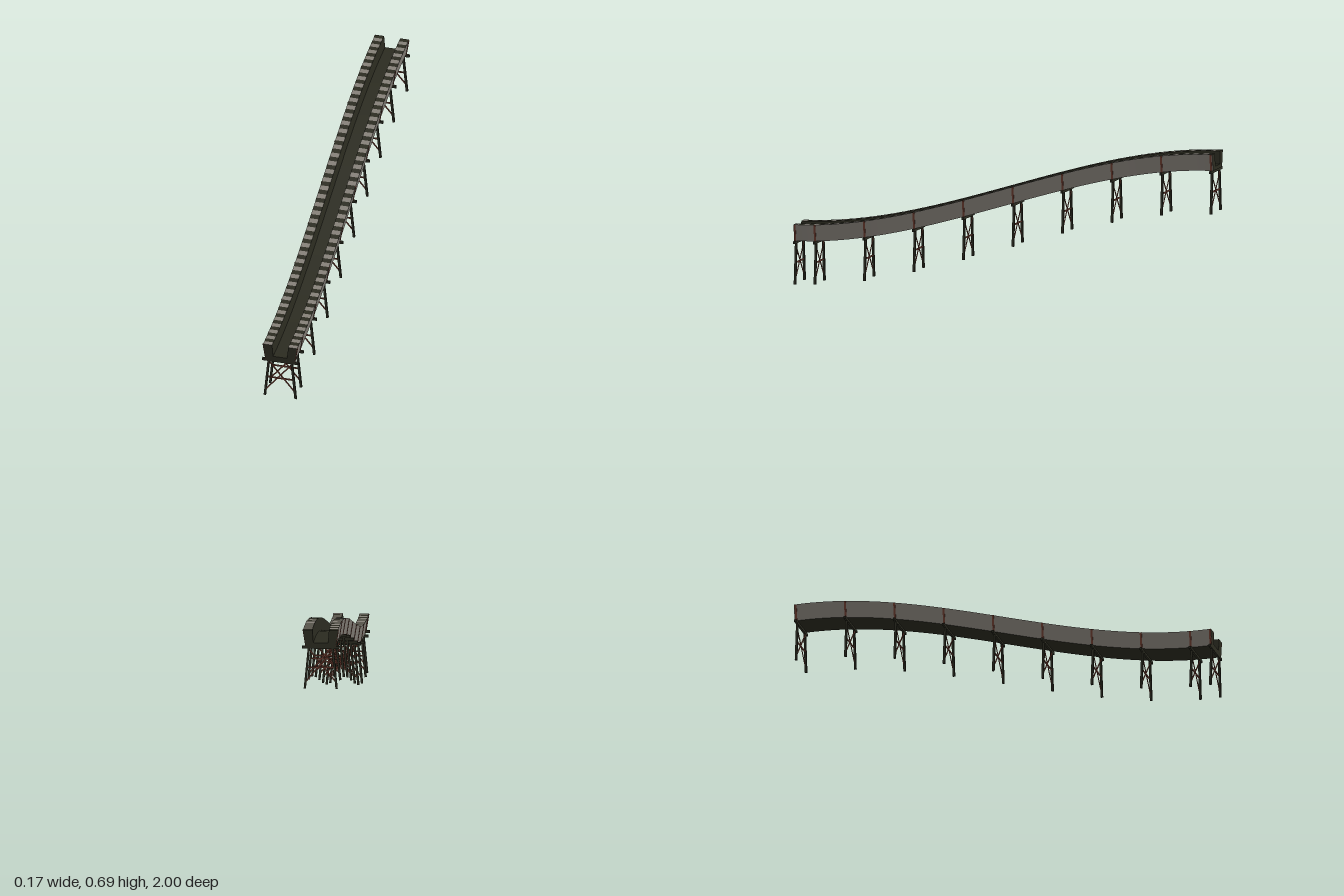
import * as THREE from 'three';

const mat = (name, color, side = THREE.FrontSide) => {
  const m = new THREE.MeshStandardMaterial({ color, side });
  m.name = name;
  return m;
};

// Height of the trough underside along z: a smooth S-shaped climb to the back
const baseY = (z) => {
  const t = (1 - z) / 2;
  return 0.2 + 0.413 * t * t * (3 - 2 * t);
};

// Trough section relative to its underside, counterclockwise seen from the front
const SECTION = [
  [-0.068, 0], [0.068, 0], [0.08, 0.077], [0.038, 0.077],
  [0.033, 0.017], [-0.033, 0.017], [-0.038, 0.077], [-0.08, 0.077],
];
const SEGMENTS = 84;

// Sweep one edge of the section along the climb
function strip(p, q) {
  const pos = [], index = [];
  for (let i = 0; i <= SEGMENTS; i++) {
    const z = 1 - (2 * i) / SEGMENTS, y = baseY(z);
    pos.push(p[0], p[1] + y, z, q[0], q[1] + y, z);
    if (i < SEGMENTS) {
      const a = i * 2;
      index.push(a + 2, a + 3, a + 1, a + 2, a + 1, a);
    }
  }
  const g = new THREE.BufferGeometry();
  g.setAttribute('position', new THREE.Float32BufferAttribute(pos, 3));
  g.setIndex(index);
  g.computeVertexNormals();
  return g;
}

export function createModel() {
  const model = new THREE.Group();
  model.name = 'raisedTrough';
  const dark = mat('darkTimber', 0x2b2b20);
  const grey = mat('weatheredGrey', 0x858078);
  const rust = mat('rustedIron', 0x6e3d30);

  const add = (parent, name, geometry, material) => {
    const mesh = new THREE.Mesh(geometry, material);
    mesh.name = name;
    parent.add(mesh);
    return mesh;
  };

  // Square bar between two points in the x-y plane
  const bar = (parent, name, a, b, width, depth, z, material) => {
    const dx = b[0] - a[0], dy = b[1] - a[1];
    const m = add(parent, name, new THREE.BoxGeometry(width, Math.hypot(dx, dy), depth), material);
    m.position.set((a[0] + b[0]) / 2, (a[1] + b[1]) / 2, z);
    m.rotation.z = Math.atan2(-dx, dy);
    return m;
  };

  // Trough skin: underside, sides, striped rims, inner walls and floor
  const names = ['underside', 'leftSide', 'leftRim', 'leftInnerWall',
    'channelFloor', 'rightInnerWall', 'rightRim', 'rightSide'];
  names.forEach((name, i) => {
    const g = strip(SECTION[i], SECTION[(i + 1) % SECTION.length]);
    if (name.endsWith('Rim')) {
      for (let s = 0; s < SEGMENTS; s++) g.addGroup(s * 6, 6, s % 2);
      add(model, name, g, [grey, dark]);
    } else {
      add(model, name, g, /(left|right)Side/.test(name) ? grey : dark);
    }
  });

  // End faces of the trough
  const endShape = new THREE.Shape(SECTION.map(([x, y]) => new THREE.Vector2(x, y)));
  for (const s of [1, -1]) {
    const end = add(model, s > 0 ? 'frontEnd' : 'backEnd', new THREE.ShapeGeometry(endShape), dark);
    end.position.set(0, baseY(s), s);
    if (s < 0) end.rotation.y = Math.PI;
  }

  // Trestles: cross beam, splayed legs, cross bracing and side straps
  const stations = [0.995];
  for (let i = 0; i < 9; i++) stations.push(0.9 - i * 0.2364);
  for (const z of stations) {
    const trestle = new THREE.Group();
    trestle.name = 'trestle';
    trestle.position.set(0, baseY(z), z);
    model.add(trestle);

    add(trestle, 'crossBeam', new THREE.BoxGeometry(0.17, 0.012, 0.01), dark).position.y = -0.006;
    bar(trestle, 'tieBar', [-0.063, -0.1], [0.063, -0.1], 0.007, 0.004, 0, rust);
    for (const s of [1, -1]) {
      bar(trestle, 'leg', [s * 0.0725, -0.199], [s * 0.054, -0.008], 0.01, 0.01, 0, dark);
      bar(trestle, 'diagonalBrace', [-s * 0.068, -0.167], [s * 0.055, -0.015], 0.006, 0.003, s * 0.003, rust);
      bar(trestle, 'sideStrap', [s * 0.0685, 0], [s * 0.0805, 0.076], 0.004, 0.009, 0, rust);
    }
  }
  return model;
}
